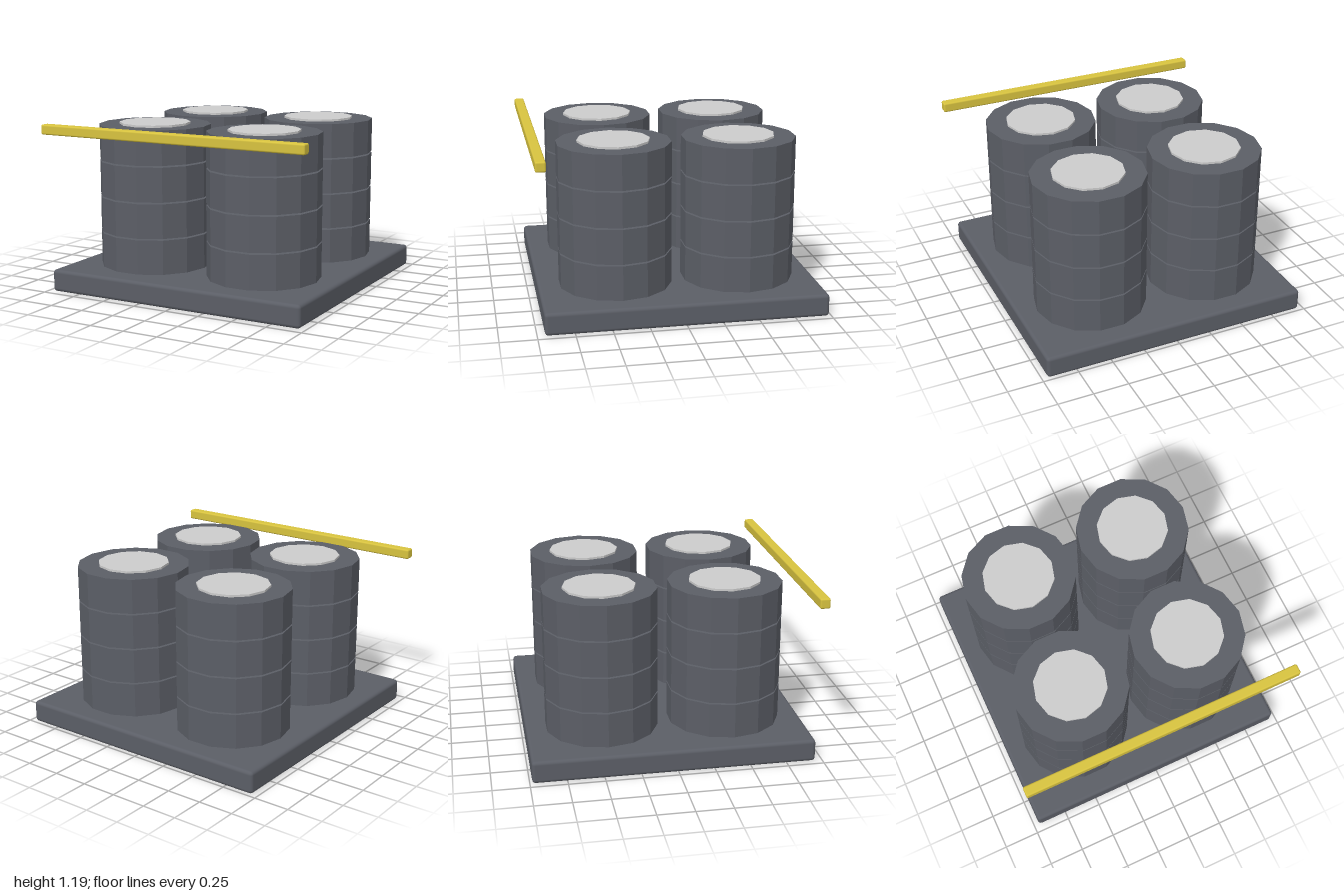
import * as THREE from 'three';
import { RoundedBoxGeometry } from 'three/addons/geometries/RoundedBoxGeometry.js';

const mat = (color, flatShading = false) => new THREE.MeshStandardMaterial({ color, flatShading });

function addMesh(parent, name, geometry, material, x, y, z) {
  const mesh = new THREE.Mesh(geometry, material);
  mesh.name = name;
  mesh.position.set(x, y, z);
  parent.add(mesh);
  return mesh;
}

export function createModel() {
  const model = new THREE.Group();
  model.name = 'tyrePallet';

  const dark = mat(0x5b5e66);
  const rubber = mat(0x5b5e66, true);
  const metal = mat(0xc8c8cc, true);
  const yellow = mat(0xd8c33f);

  // Base slab with softened edges
  addMesh(model, 'base', new RoundedBoxGeometry(1.926, 0.157, 1.934, 2, 0.025), dark, 0, 0.0785, -0.017);

  // Four stacks of low-poly tyres, each tyre with a slightly taller hub
  const tyreGeo = new THREE.CylinderGeometry(0.395, 0.395, 0.242, 14, 1, false, Math.PI / 2);
  const hubGeo = new THREE.CylinderGeometry(0.25, 0.25, 0.272, 12);
  for (const x of [-0.434, 0.434]) {
    for (const z of [-0.455, 0.412]) {
      const stack = new THREE.Group();
      stack.name = (z > 0 ? 'front' : 'back') + (x > 0 ? 'Left' : 'Right') + 'Stack';
      stack.position.set(x, 0, z);
      for (let i = 0; i < 4; i++) {
        const y = 0.282 + i * 0.2537;
        addMesh(stack, `tyre${i + 1}`, tyreGeo, rubber, 0, y, 0);
        addMesh(stack, `hub${i + 1}`, hubGeo, metal, 0, y, 0);
      }
      model.add(stack);
    }
  }

  // Floating bar across the front
  addMesh(model, 'frontBar', new RoundedBoxGeometry(2, 0.07, 0.07, 2, 0.012), yellow, 0, 1.151, 0.949);

  return model;
}
